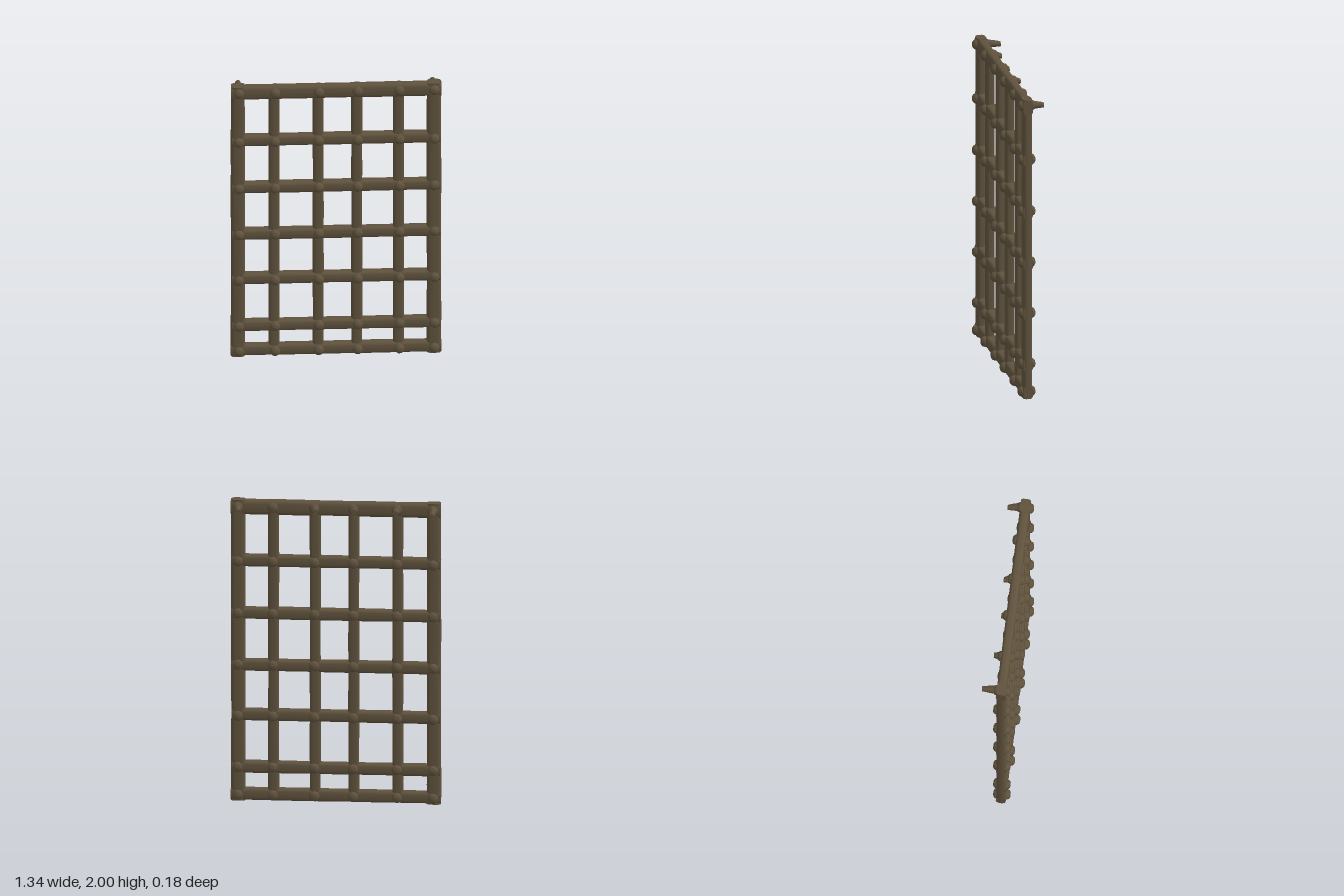
import * as THREE from 'three';

const iron = new THREE.MeshStandardMaterial({ color: 0x5f523d });
iron.name = 'weathered iron';

const MID_Z = 0.031;

// Hammered bar along y: soft rectangular section with slightly uneven width
function makeBar(name, length, width, depth, seed) {
  const geo = new THREE.CylinderGeometry(1, 1, length, 20, 16);
  const p = geo.attributes.position;
  const soften = (v) => Math.sign(v) * Math.pow(Math.abs(v), 0.62);
  for (let i = 0; i < p.count; i++) {
    const y = p.getY(i);
    const wobble = 1 + 0.035 * Math.sin(y * 9 + seed * 2.3) * Math.cos(y * 4 + seed);
    p.setX(i, soften(p.getX(i)) * width / 2 * wobble);
    p.setZ(i, soften(p.getZ(i)) * depth / 2);
  }
  geo.computeVertexNormals();
  const mesh = new THREE.Mesh(geo, iron);
  mesh.name = name;
  return mesh;
}

// Domed rivet head, its base on the bar and its crown along +z
const rivetProfile = [[0.036, -0.012], [0.034, 0.006], [0.029, 0.019], [0.018, 0.027], [0, 0.029]]
  .map(([r, h]) => new THREE.Vector2(r, h));
const rivetGeo = new THREE.LatheGeometry(rivetProfile, 9).rotateX(Math.PI / 2);

// Bent, tapering nail shank that sticks out of the back
function makeSpike(x, y, tipZ, bend) {
  const geo = new THREE.CylinderGeometry(0.017, 0.03, 1, 9, 6);
  const p = geo.attributes.position;
  for (let i = 0; i < p.count; i++) {
    const t = p.getY(i) + 0.5;
    const px = p.getX(i), py = p.getZ(i);
    p.setXYZ(i, x + px + bend * t * t, y + py - 0.008 * t * t, 0.01 + (tipZ - 0.01) * t);
  }
  // The mapping swaps two axes and flips one, so the winding stays outward
  geo.computeVertexNormals();
  const mesh = new THREE.Mesh(geo, iron);
  mesh.name = 'bentNail';
  return mesh;
}

export function createModel() {
  const model = new THREE.Group();
  model.name = 'ironGrate';

  // Upright bars: centre x and width
  const uprights = [[-0.625, 0.09], [-0.395, 0.07], [-0.115, 0.07], [0.13, 0.07], [0.395, 0.07], [0.62, 0.092]];
  uprights.forEach(([x, w], i) => {
    const outer = i === 0 || i === uprights.length - 1;
    const bar = makeBar(outer ? 'outerUpright' : 'innerUpright', outer ? 2 : 1.96, w, outer ? 0.062 : 0.054, i);
    bar.position.set(x, 1, MID_Z - (outer ? 0 : 0.003));
    model.add(bar);
  });

  // Cross bars: centre y and height
  const crossBars = [[0.042, 0.08], [0.222, 0.078], [0.57, 0.078], [0.9, 0.078], [1.245, 0.078], [1.595, 0.078], [1.95, 0.097]];
  crossBars.forEach(([y, h], i) => {
    const outer = i === 0 || i === crossBars.length - 1;
    const bar = makeBar(outer ? 'edgeCrossBar' : 'crossBar', outer ? 1.335 : 1.325, h, 0.064, i + 7);
    bar.rotation.z = Math.PI / 2;
    bar.position.set(-0.001, y, MID_Z);
    model.add(bar);
  });

  // Rivets on both faces of every crossing
  const rivetX = [-0.62, -0.39, -0.112, 0.135, 0.4, 0.622];
  const rivetY = [0.04, 0.225, 0.565, 0.905, 1.247, 1.593, 1.955];
  rivetY.forEach((y, j) => rivetX.forEach((x, i) => {
    for (const side of [1, -1]) {
      const rivet = new THREE.Mesh(rivetGeo, iron);
      rivet.name = side > 0 ? 'frontRivet' : 'backRivet';
      rivet.position.set(x, y, MID_Z + side * 0.029);
      rivet.rotation.set(0, side > 0 ? 0 : Math.PI, (i * 5 + j * 3) % 7);
      if (side < 0) rivet.scale.z = 0.85;
      model.add(rivet);
    }
  }));

  // Nail shanks along the top edge
  const tips = [-0.094, -0.046, -0.032, -0.046, -0.02, -0.08];
  const bends = [0, 0.004, -0.006, -0.01, 0, -0.008];
  rivetX.forEach((x, i) => model.add(makeSpike(x, 1.955, tips[i], bends[i])));

  return model;
}
